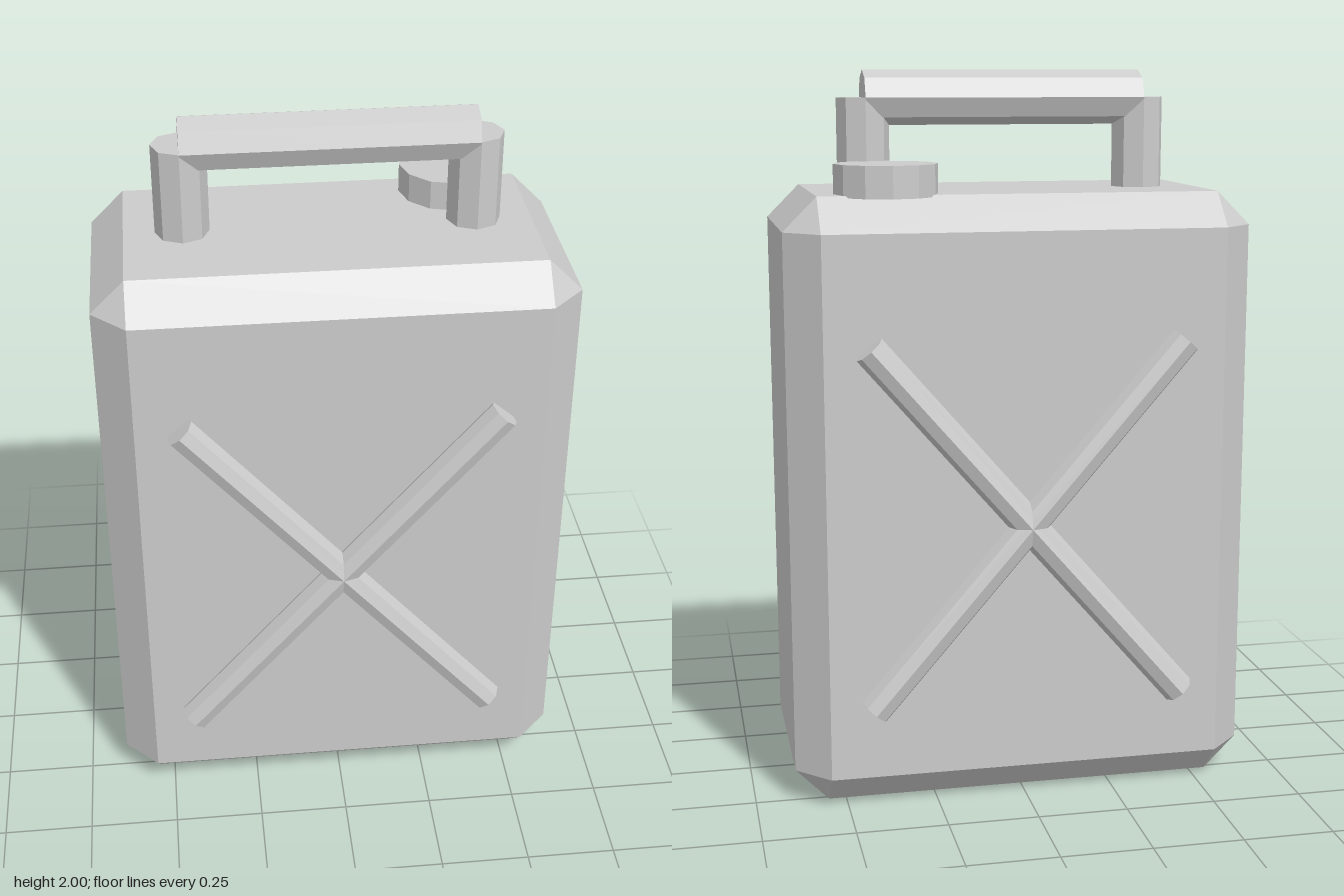
import * as THREE from 'three';
import { ConvexGeometry } from 'three/addons/geometries/ConvexGeometry.js';

const material = new THREE.MeshStandardMaterial({ color: 0xcccccc, flatShading: true });

function add(group, name, geometry, x, y, z, rotZ = 0) {
  const mesh = new THREE.Mesh(geometry, material);
  mesh.name = name;
  mesh.position.set(x, y, z);
  mesh.rotation.z = rotZ;
  group.add(mesh);
  return mesh;
}

const rod = (radius, length, sides = 8) => new THREE.CylinderGeometry(radius, radius, length, sides);

// Box with every edge and corner chamfered, given its half sizes
function chamferedBox(hx, hy, hz, c) {
  const points = [];
  for (const sx of [-1, 1]) for (const sy of [-1, 1]) for (const sz of [-1, 1]) {
    points.push(
      new THREE.Vector3(sx * hx, sy * (hy - c), sz * (hz - c)),
      new THREE.Vector3(sx * (hx - c), sy * hy, sz * (hz - c)),
      new THREE.Vector3(sx * (hx - c), sy * (hy - c), sz * hz)
    );
  }
  return new ConvexGeometry(points);
}

export function createModel() {
  const model = new THREE.Group();
  model.name = 'fuelCan';

  // Can body
  add(model, 'body', chamferedBox(0.64, 0.8375, 0.355, 0.092), 0, 0.8375, 0);

  // Handle: two posts and a grip bar
  const handle = new THREE.Group();
  handle.name = 'handle';
  model.add(handle);
  for (const s of [-1, 1]) {
    add(handle, s > 0 ? 'leftPost' : 'rightPost', rod(0.073, 0.275), s * 0.391, 1.7875, 0);
  }
  add(handle, 'gripBar', rod(0.075, 0.782), 0, 1.925, 0, Math.PI / 2);

  // Filler cap at the back left of the top
  add(model, 'fillerCap', rod(0.141, 0.086, 12), 0.355, 1.712, -0.187);

  // Crossed ribs on the front and back
  const dx = 0.43, dy = 0.497;
  for (const side of [-1, 1]) {
    const cross = new THREE.Group();
    cross.name = side > 0 ? 'frontCross' : 'backCross';
    model.add(cross);
    for (const s of [-1, 1]) {
      add(cross, 'rib', rod(0.044, 2 * Math.hypot(dx, dy)), 0, 0.787, side * 0.373, s * Math.atan2(dx, dy));
    }
  }
  return model;
}
